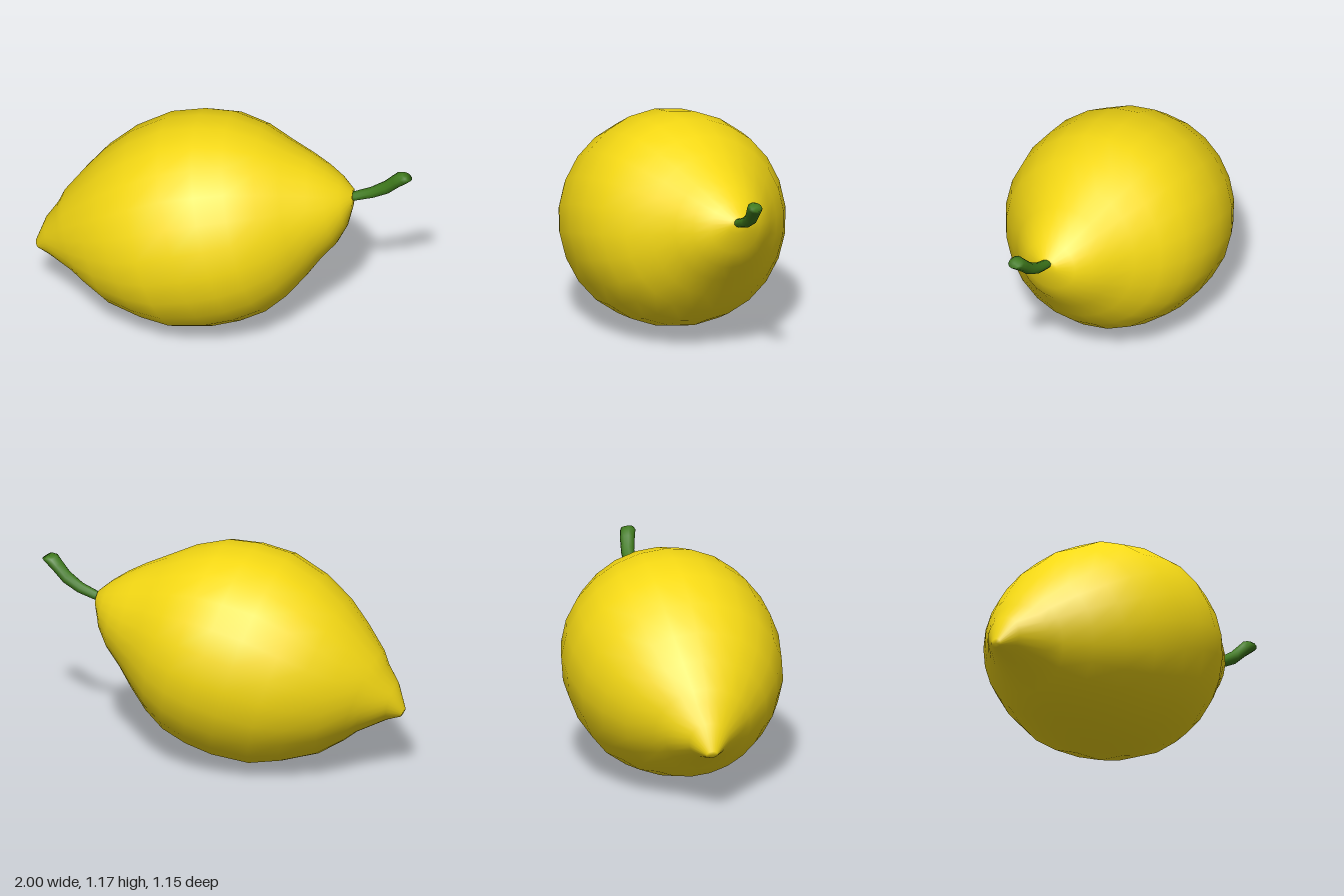
import * as THREE from 'three';

// Skin over elliptical cross-sections that run towards +x.
// Each section: [topX, topY, bottomX, bottomY, halfDepth, centreZ]
function loft(name, sections, sides, color) {
  const first = sections[0], last = sections[sections.length - 1];
  const point = (s) => {
    const x = (s[0] + s[2]) / 2, y = (s[1] + s[3]) / 2;
    return [x, y, x, y, 0, s[5] ?? 0];
  };
  const rings = [point(first), ...sections, point(last)]; // closed ends
  const positions = [], index = [];
  rings.forEach(([tx, ty, bx, by, depth, cz = 0], i) => {
    for (let j = 0; j < sides; j++) {
      const a = (j / sides) * Math.PI * 2;
      const c = Math.cos(a) / 2;
      positions.push(
        (tx + bx) / 2 + (tx - bx) * c,
        (ty + by) / 2 + (ty - by) * c,
        cz + depth * Math.sin(a)
      );
      if (i === rings.length - 1) continue;
      const k = (j + 1) % sides;
      const p = i * sides + j, q = i * sides + k;
      index.push(p, q, p + sides, q, q + sides, p + sides);
    }
  });
  const geometry = new THREE.BufferGeometry();
  geometry.setAttribute('position', new THREE.Float32BufferAttribute(positions, 3));
  geometry.setIndex(index);
  geometry.computeVertexNormals();
  const mesh = new THREE.Mesh(geometry, new THREE.MeshStandardMaterial({ color }));
  mesh.name = name;
  return mesh;
}

export function createModel() {
  const group = new THREE.Group();
  group.name = 'lemon';

  // Tilted fruit, from the pointed nipple to the stem end
  group.add(loft('fruit', [
    [-1.0, 0.36, -0.98, 0.32, 0.03],
    [-0.95, 0.5, -0.91, 0.3, 0.11],
    [-0.89, 0.59, -0.75, 0.22, 0.21],
    [-0.86, 0.66, -0.68, 0.165, 0.265],
    [-0.76, 0.79, -0.55, 0.085, 0.38],
    [-0.66, 0.91, -0.36, 0.03, 0.475],
    [-0.52, 1.03, -0.2, 0.003, 0.545],
    [-0.34, 1.13, 0.0, 0.03, 0.577],
    [-0.16, 1.168, 0.14, 0.075, 0.57],
    [0.0, 1.173, 0.27, 0.14, 0.535],
    [0.17, 1.13, 0.37, 0.23, 0.46],
    [0.3, 1.07, 0.46, 0.34, 0.365],
    [0.44, 1.005, 0.535, 0.45, 0.28],
    [0.53, 0.955, 0.61, 0.54, 0.215],
    [0.61, 0.9, 0.66, 0.64, 0.145],
    [0.68, 0.84, 0.685, 0.75, 0.06],
  ], 24, 0xf5d914));

  // Curved stem, thickening towards its cut end
  group.add(loft('stem', [
    [0.65, 0.825, 0.66, 0.785, 0.025, 0],
    [0.69, 0.835, 0.705, 0.79, 0.028, 0],
    [0.77, 0.87, 0.795, 0.818, 0.03, 0.003],
    [0.845, 0.922, 0.875, 0.862, 0.036, 0.012],
    [0.89, 0.97, 0.935, 0.92, 0.04, 0.024],
    [0.917, 1.0, 0.98, 0.957, 0.042, 0.034],
    [0.947, 1.006, 1.0, 0.974, 0.032, 0.037],
  ], 10, 0x3f7a1c));

  return group;
}
